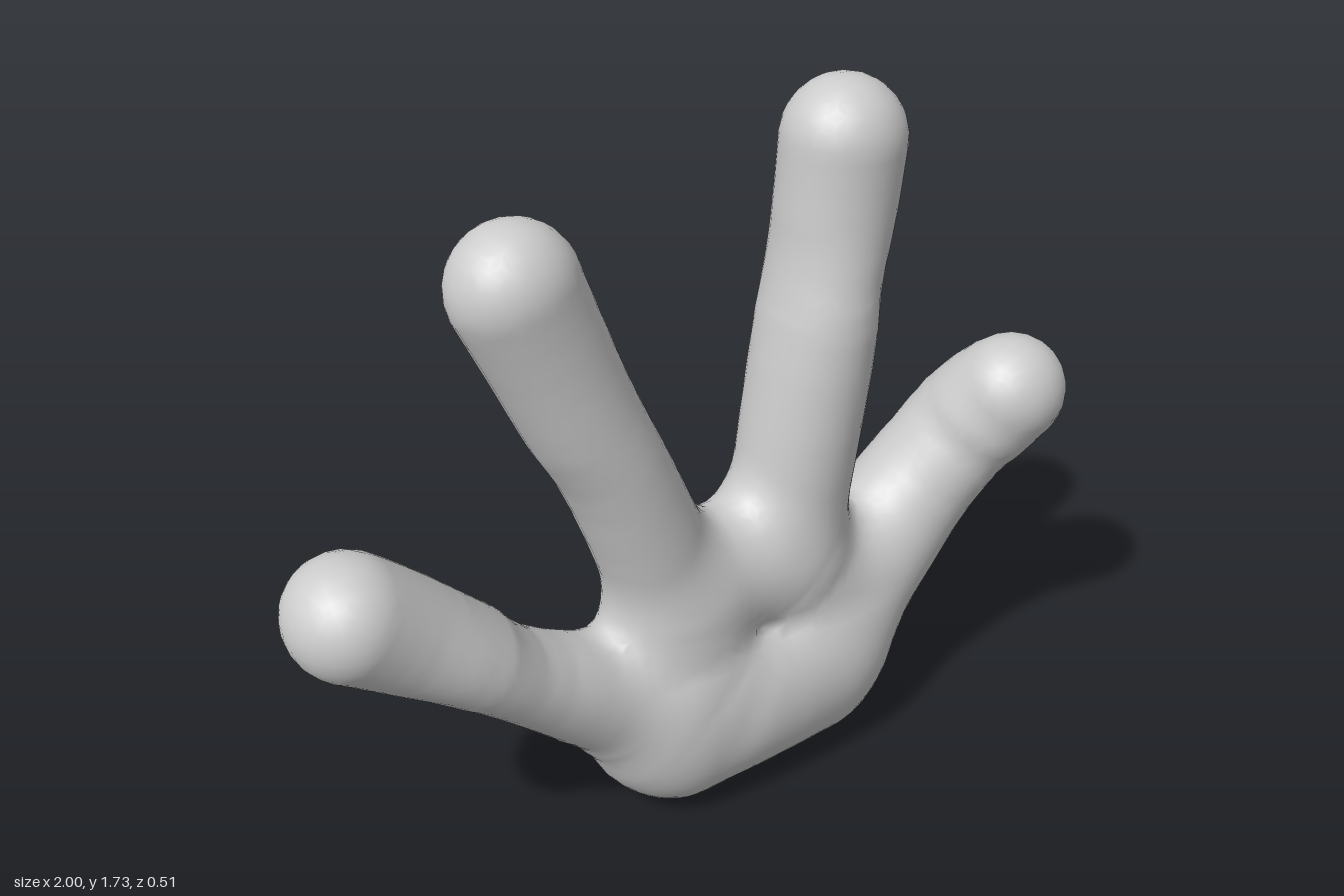
import * as THREE from 'three';

// Each part is a chain of nodes [x, y, z, radius, depth radius].
const CHAINS = {
  heel: [[-0.06, 0.2, -0.04, 0.193, 0.185], [0.13, 0.2, -0.04, 0.185, 0.19], [0.33, 0.2, -0.045, 0.193, 0.19]],
  palm: [
    [0.0, 0.5, -0.05, 0.18, 0.15], [0.1, 0.565, -0.05, 0.18, 0.14], [0.28, 0.5, -0.05, 0.18, 0.15],
    [0.27, 0.34, -0.045, 0.18, 0.18], [0.04, 0.34, -0.04, 0.18, 0.175], [0.0, 0.5, -0.05, 0.18, 0.15]],
  littleFinger: [
    [-0.862, 0.862, -0.05, 0.138, 0.148], [-0.74, 0.765, -0.05, 0.13, 0.145], [-0.6, 0.65, -0.045, 0.115, 0.153],
    [-0.43, 0.5, -0.045, 0.112, 0.14], [-0.15, 0.32, -0.04, 0.175, 0.15]],
  middleFinger: [
    [-0.42, 1.468, -0.065, 0.144, 0.135], [-0.35, 1.3, -0.065, 0.136, 0.135], [-0.275, 1.12, -0.06, 0.13, 0.138],
    [-0.185, 0.93, -0.055, 0.125, 0.14], [-0.06, 0.6, -0.05, 0.14, 0.135]],
  indexFinger: [
    [0.425, 1.595, -0.055, 0.145, 0.143], [0.405, 1.42, -0.055, 0.138, 0.143], [0.374, 1.27, -0.05, 0.126, 0.15],
    [0.345, 1.08, -0.045, 0.138, 0.155], [0.28, 0.62, -0.05, 0.145, 0.14]],
  thumb: [
    [0.858, 0.9, 0.112, 0.141, 0.136], [0.822, 0.825, 0.055, 0.141, 0.155], [0.75, 0.7, -0.005, 0.137, 0.152],
    [0.6, 0.5, -0.045, 0.163, 0.16], [0.41, 0.3, -0.045, 0.175, 0.18]],
};
const NAMES = Object.keys(CHAINS);
const BLEND = 0.12;

// Round off the bends of a chain with a spline through its nodes
function smooth(nodes, steps = 3) {
  const spline = THREE.MathUtils, out = [];
  for (let i = 0; i < nodes.length - 1; i++) {
    const a = nodes[Math.max(i - 1, 0)], b = nodes[i], c = nodes[i + 1], d = nodes[Math.min(i + 2, nodes.length - 1)];
    for (let s = 0; s < steps; s++) {
      const t = s / steps;
      out.push(b.map((v, m) => {
        const from = v + (c[m] - a[m]) * t / 2, to = c[m] + (d[m] - v) * (t - 1) / 2;
        return spline.lerp(from, to, t * t * (3 - 2 * t));
      }));
    }
  }
  return [...out, nodes[nodes.length - 1]];
}
const PARTS = Object.fromEntries(NAMES.map((name) => [name, smooth(CHAINS[name])]));

// Distance to one tapered, flattened limb segment
function segment(x, y, z, a, b) {
  const ex = b[0] - a[0], ey = b[1] - a[1], ez = b[2] - a[2];
  let t = ((x - a[0]) * ex + (y - a[1]) * ey + (z - a[2]) * ez) / (ex * ex + ey * ey + ez * ez);
  t = Math.min(1, Math.max(0, t));
  const r = a[3] + (b[3] - a[3]) * t, rz = a[4] + (b[4] - a[4]) * t;
  return Math.hypot(x - a[0] - ex * t, y - a[1] - ey * t, (z - a[2] - ez * t) * r / rz) - r;
}

function chain(nodes, x, y, z) {
  let d = Infinity;
  for (let i = 1; i < nodes.length; i++) d = Math.min(d, segment(x, y, z, nodes[i - 1], nodes[i]));
  return d;
}

// All parts melted together with soft webs between them
function field(x, y, z) {
  let d = 10;
  for (const name of NAMES) {
    const e = chain(PARTS[name], x, y, z);
    const h = Math.max(BLEND - Math.abs(d - e), 0) / BLEND;
    d = Math.min(d, e) - h * h * BLEND / 4;
  }
  return d;
}

function gradient([x, y, z], e = 0.015) {
  return new THREE.Vector3(
    field(x + e, y, z) - field(x - e, y, z),
    field(x, y + e, z) - field(x, y - e, z),
    field(x, y, z + e) - field(x, y, z - e)).divideScalar(2 * e);
}

// Skin the field: one vertex per crossed grid cell, one quad per crossed edge
function skin() {
  const step = 0.032, min = [-1.1, -0.1, -0.4], n = [70, 62, 26];
  const stride = [1, n[0], n[0] * n[1]];
  const at = (i, j, k) => i + j * stride[1] + k * stride[2];
  const values = new Float32Array(n[0] * n[1] * n[2]);
  const each = (lo, hi, fn) => {
    for (let k = lo; k < n[2] - hi; k++)
      for (let j = lo; j < n[1] - hi; j++)
        for (let i = lo; i < n[0] - hi; i++) fn(i, j, k);
  };
  each(0, 0, (i, j, k) => {
    values[at(i, j, k)] = field(min[0] + i * step, min[1] + j * step, min[2] + k * step);
  });

  const cell = new Map(), points = [], normals = [];
  each(0, 1, (i, j, k) => {
    const sum = [0, 0, 0];
    let count = 0;
    for (let c = 0; c < 8; c++) {
      const p = [c & 1, (c >> 1) & 1, c >> 2];
      const v = at(i + p[0], j + p[1], k + p[2]);
      for (let a = 0; a < 3; a++) {
        if (p[a]) continue;
        const d0 = values[v], d1 = values[v + stride[a]];
        if ((d0 < 0) === (d1 < 0)) continue;
        for (let m = 0; m < 3; m++) sum[m] += p[m] + (m === a ? d0 / (d0 - d1) : 0);
        count++;
      }
    }
    if (!count) return;
    const q = [i, j, k].map((s, m) => min[m] + (s + sum[m] / count) * step);
    const g = gradient(q), f = field(...q) / Math.max(g.lengthSq(), 0.2);
    const p = [q[0] - g.x * f, q[1] - g.y * f, q[2] - g.z * f];
    cell.set(at(i, j, k), points.length);
    points.push(p);
    normals.push(gradient(p).normalize().toArray());
  });

  const faces = Object.fromEntries(NAMES.map((name) => [name, []]));
  each(1, 1, (i, j, k) => {
    const v = at(i, j, k);
    for (let a = 0; a < 3; a++) {
      const inside = values[v] < 0;
      if (inside === values[v + stride[a]] < 0) continue;
      const b = stride[(a + 1) % 3], c = stride[(a + 2) % 3];
      const q = [v, v - b, v - b - c, v - c].map((s) => cell.get(s));
      if (!inside) q.reverse();
      // Give the quad to the closest part
      const mid = [0, 1, 2].map((m) => q.reduce((s, t) => s + points[t][m], 0) / 4);
      const dist = NAMES.map((name) => chain(PARTS[name], ...mid));
      const owner = NAMES[dist.indexOf(Math.min(...dist))];
      faces[owner].push(q[0], q[1], q[2], q[0], q[2], q[3]);
    }
  });
  return { points, normals, faces };
}

export function createModel() {
  const hand = new THREE.Group();
  hand.name = 'hand';
  const material = new THREE.MeshStandardMaterial({ color: 0xcccccc });
  const { points, normals, faces } = skin();

  for (const name of NAMES) {
    // Keep only the vertices this part uses
    const local = new Map();
    const index = faces[name].map((v) => {
      if (!local.has(v)) local.set(v, local.size);
      return local.get(v);
    });
    const used = [...local.keys()];
    const geometry = new THREE.BufferGeometry();
    geometry.setAttribute('position', new THREE.Float32BufferAttribute(used.flatMap((v) => points[v]), 3));
    geometry.setAttribute('normal', new THREE.Float32BufferAttribute(used.flatMap((v) => normals[v]), 3));
    geometry.setIndex(index);
    const mesh = new THREE.Mesh(geometry, material);
    mesh.name = name;
    hand.add(mesh);
  }
  return hand;
}
